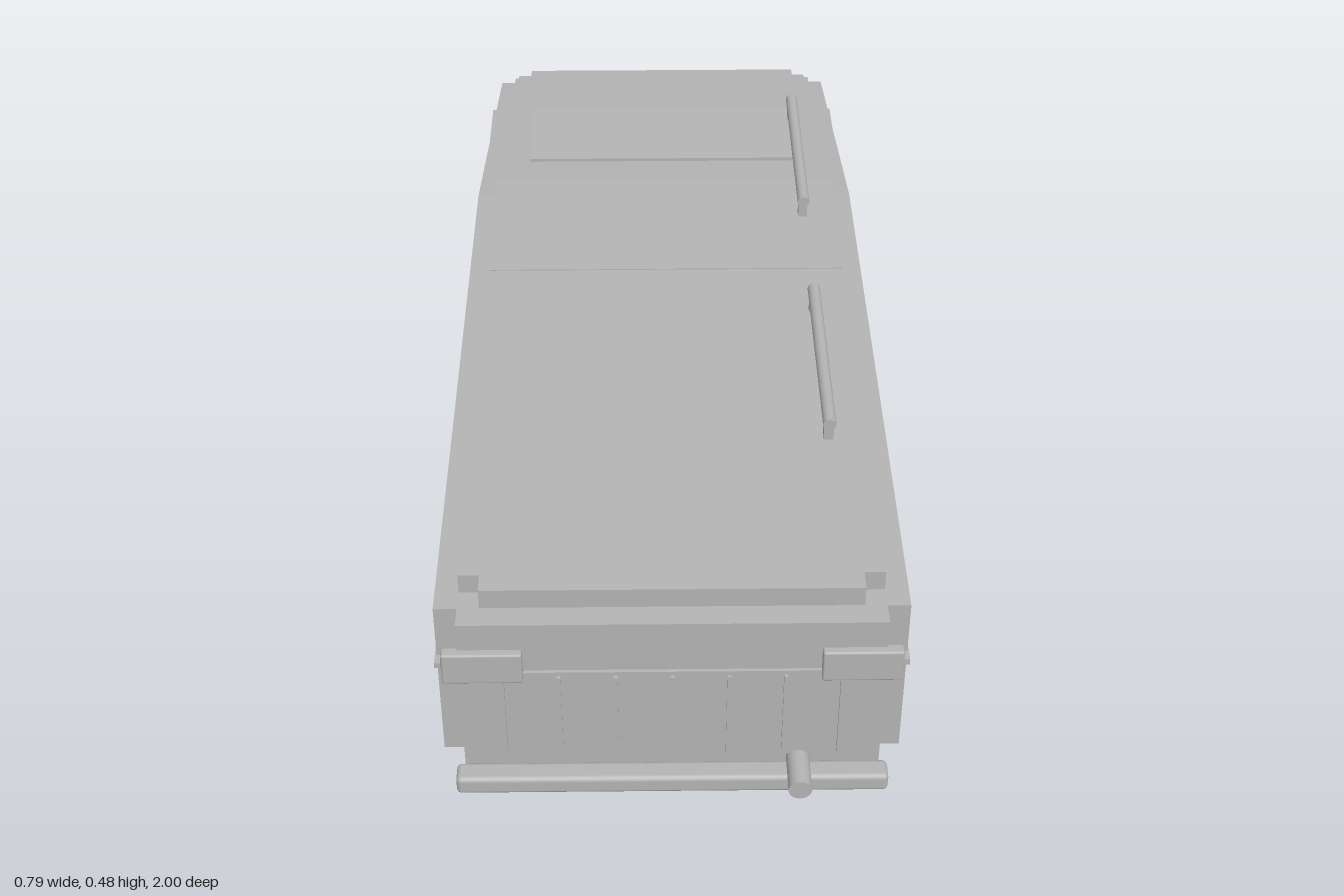
import * as THREE from 'three';
import { RoundedBoxGeometry } from 'three/addons/geometries/RoundedBoxGeometry.js';

const FLOOR = 0.063, BEND = -0.4;

// narrows and lowers everything behind the bend
function taper(geo) {
  const p = geo.attributes.position;
  for (let i = 0; i < p.count; i++) {
    const t = Math.max(0, (BEND - p.getZ(i)) / 0.52);
    p.setX(i, p.getX(i) * (1 - 0.06 * t));
    if (p.getY(i) > 0.35) p.setY(i, p.getY(i) - 0.018 * t);
  }
  geo.computeVertexNormals();
  return geo;
}

// side profile of [z, y] points, extruded from x0 to x1
function prism(points, x0, x1) {
  const shape = new THREE.Shape(points.map(([z, y]) => new THREE.Vector2(z, y)));
  const geo = new THREE.ExtrudeGeometry(shape, { depth: x1 - x0, bevelEnabled: false });
  geo.rotateY(-Math.PI / 2).translate(x1, 0, 0);
  return taper(geo);
}

const rect = (z0, z1, y0, y1) => [[z0, y0], [z1, y0], [z1, y1], [z0, y1]];

// rectangle whose lower edge has a wheel arch cut out
function archRect(z0, z1, y1, centre, rz, ry) {
  const pts = [[z0, FLOOR]];
  for (let i = 0; i <= 10; i++) {
    const a = Math.PI * (1 - i / 10);
    pts.push([centre + rz * Math.cos(a), FLOOR + ry * Math.sin(a)]);
  }
  pts.push([z1, FLOOR], [z1, y1], [z0, y1]);
  return pts;
}

export function createModel() {
  const model = new THREE.Group();
  const grey = new THREE.MeshStandardMaterial({ color: 0xb4b4b4 });
  grey.name = 'body grey';

  const add = (name, geo, x = 0, y = 0, z = 0, parent = model) => {
    const mesh = new THREE.Mesh(geo, grey);
    mesh.name = name;
    mesh.position.set(x, y, z);
    parent.add(mesh);
    return mesh;
  };
  // box given by its limits
  const box = (name, x0, x1, y0, y1, z0, z1, parent) =>
    add(name, new THREE.BoxGeometry(x1 - x0, y1 - y0, z1 - z0),
      (x0 + x1) / 2, (y0 + y1) / 2, (z0 + z1) / 2, parent);

  // core between the wheel pockets, and narrower end faces
  const IN = 0.19, TOP = 0.388;
  add('bodyCoreFront', prism(rect(BEND, 0.88, FLOOR, TOP), -IN, IN));
  add('bodyCoreRear', prism(rect(-0.92, BEND, FLOOR, TOP), -IN, IN));
  add('frontFace', prism(rect(0.88, 0.92, FLOOR, TOP), -0.355, 0.355));
  add('rearFace', prism(rect(-0.955, -0.92, FLOOR, TOP), -0.355, 0.355));

  // flanks with wheel arches
  for (const s of [-1, 1]) {
    const x0 = s > 0 ? IN : -0.394, x1 = s > 0 ? 0.394 : -IN;
    add('frontFlank', prism(archRect(BEND, 0.88, TOP, 0.55, 0.17, 0.183), x0, x1));
    add('rearFlank', prism(archRect(-0.92, BEND, TOP, -0.603, 0.165, 0.178), x0, x1));
    box('sideStrip', s * 0.392 - 0.005, s * 0.392 + 0.005, 0.273, 0.284, -0.945, 0.9);
    box('mudFlap', s * 0.358 - 0.038, s * 0.358 + 0.038, 0, 0.068, 0.732, 0.737);
  }

  // raised deck with notched corners
  for (const [z0, z1, w] of [[0.84, 0.878, 0.318], [BEND, 0.84, 0.354],
    [-0.87, BEND, 0.354], [-0.908, -0.87, 0.318]]) {
    add('deck', prism(rect(z0, z1, 0.38, 0.426), -w, w));
  }
  box('deckSeam', -0.35, 0.35, 0.424, 0.428, -0.063, -0.057);
  box('deckHatch', -0.285, 0.285, 0.41, 0.43, -0.69, -0.478);

  // roof rails on two posts each
  for (const z of [0.285, -0.453]) {
    const rail = new THREE.Group();
    rail.name = 'roofRail';
    rail.position.set(0.284, 0, z);
    model.add(rail);
    add('railBar', new THREE.CylinderGeometry(0.012, 0.012, 0.428, 16).rotateX(Math.PI / 2), 0, 0.467, 0, rail);
    for (const s of [-1, 1]) {
      box('railPost', -0.009, 0.009, 0.415, 0.462, s * 0.195 - 0.008, s * 0.195 + 0.008, rail);
    }
  }

  // front panel with ribs, lamps, bumper and pipe
  box('frontPanel', -0.315, 0.315, 0.09, 0.286, 0.915, 0.926);
  for (let i = -3; i <= 3; i++) {
    box('panelRib', i * 0.0945 - 0.0035, i * 0.0945 + 0.0035, 0.098, 0.278, 0.92, 0.932);
  }
  for (const s of [-1, 1]) {
    add('frontLamp', new RoundedBoxGeometry(0.134, 0.064, 0.022, 2, 0.004), s * 0.315, 0.301, 0.923);
  }
  add('frontBumper', new RoundedBoxGeometry(0.738, 0.037, 0.042, 3, 0.009), 0, 0.052, 0.942);
  add('pipe', new THREE.CylinderGeometry(0.02, 0.02, 0.09, 20).rotateX(Math.PI / 2), 0.215, 0.078, 0.955);

  // rear grille, lamps and bumper
  box('grilleFrame', -0.325, 0.325, 0.085, 0.195, -0.959, -0.95);
  for (let i = 0; i < 6; i++) {
    const y = 0.096 + i * 0.0175;
    box('grilleSlat', -0.315, 0.315, y - 0.004, y + 0.004, -0.968, -0.955);
  }
  for (const s of [-1, 1]) {
    box('rearLamp', s * 0.265 - 0.068, s * 0.265 + 0.068, 0.215, 0.285, -0.961, -0.95);
  }
  add('rearBumper', new RoundedBoxGeometry(0.738, 0.037, 0.038, 3, 0.009), 0, 0.055, -0.981);
  box('rearBumperMount', -0.33, 0.33, 0.06, 0.072, -0.975, -0.945);

  return model;
}
